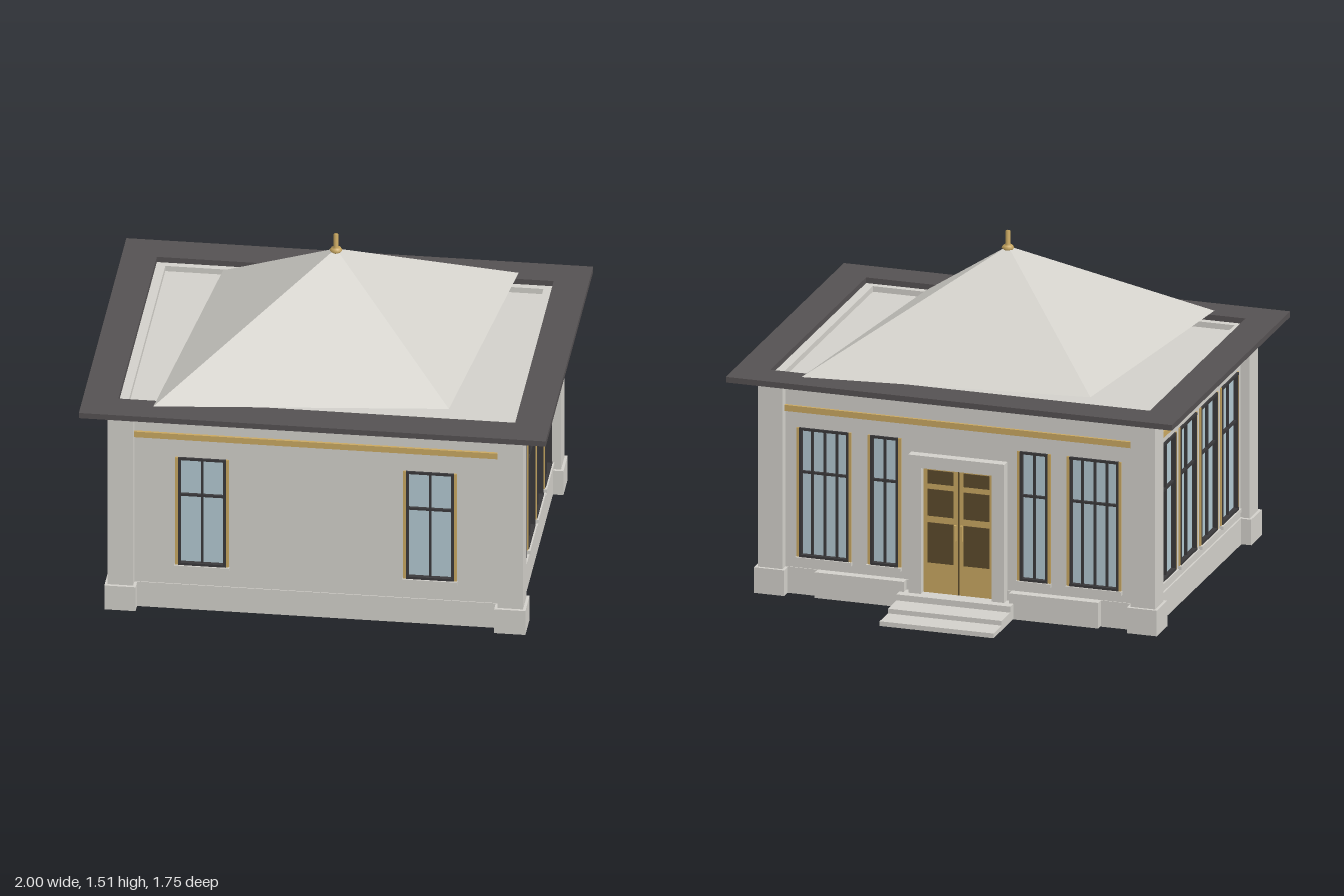
import * as THREE from 'three';

const mat = (name, color) => Object.assign(new THREE.MeshStandardMaterial({ color }), { name });

export function createModel() {
  const stone = mat('pale stone', 0xd2d0ca);
  const slate = mat('dark eaves', 0x555152);
  const gold = mat('gold trim', 0xc9a862);
  const frameDark = mat('dark window frame', 0x3a393b);
  const glass = mat('blue glass', 0xb2c8d1);
  const doorPanel = mat('brown door panel', 0x5c4a2c);
  const floorBrown = mat('dark brown floor', 0x43361f);

  const root = new THREE.Group();
  root.name = 'pavilion';
  const house = new THREE.Group();
  house.name = 'house';
  house.position.z = 0.08;
  root.add(house);

  const add = (parent, name, geometry, material) => {
    const mesh = new THREE.Mesh(geometry, material);
    mesh.name = name;
    parent.add(mesh);
    return mesh;
  };
  // Box given by its limits on each axis
  const box = (parent, name, material, x0, x1, y0, y1, z0, z1) => {
    const mesh = add(parent, name, new THREE.BoxGeometry(x1 - x0, y1 - y0, z1 - z0), material);
    mesh.position.set((x0 + x1) / 2, (y0 + y1) / 2, (z0 + z1) / 2);
    return mesh;
  };
  const rect = (C, x0, x1, y0, y1) =>
    new C([[x0, y0], [x1, y0], [x1, y1], [x0, y1]].map(([x, y]) => new THREE.Vector2(x, y)));
  const plate = (outer, holes, depth) => {
    const shape = rect(THREE.Shape, ...outer);
    holes.forEach((h) => shape.holes.push(rect(THREE.Path, ...h)));
    return new THREE.ExtrudeGeometry(shape, { depth, bevelEnabled: false });
  };
  // Horizontal rectangular ring from y0 to y1
  const ring = (name, material, ox, oz, ix, iz, y0, y1) => {
    const g = plate([-ox, ox, -oz, oz], [[-ix, ix, -iz, iz]], y1 - y0);
    g.rotateX(-Math.PI / 2);
    add(house, name, g, material).position.y = y0;
  };

  // Floor, ceiling, plinth, frieze and eaves
  box(house, 'floor', floorBrown, -0.8, 0.8, 0, 0.015, -0.59, 0.59);
  box(house, 'ceiling', stone, -0.815, 0.815, 0.93, 0.95, -0.615, 0.615);
  ring('plinth', stone, 0.857, 0.654, 0.79, 0.585, 0.012, 0.13);
  ring('frieze', stone, 0.89, 0.69, 0.81, 0.61, 0.94, 0.975);
  ring('eaves', slate, 1, 0.79, 0.85, 0.64, 0.975, 1);

  // Corner piers with wider feet
  for (const sx of [-1, 1]) for (const sz of [-1, 1]) {
    const pier = new THREE.Group();
    pier.name = 'cornerPier';
    pier.position.set(sx * 0.835, 0, sz * 0.632);
    box(pier, 'pierShaft', stone, -0.055, 0.055, 0.02, 0.94, -0.057, 0.057);
    box(pier, 'pierFoot', stone, -0.067, 0.067, 0.013, 0.128, -0.071, 0.071);
    house.add(pier);
  }

  // Window centred on x = c, standing in a wall whose face is z = 0
  const addWindow = (wall, { c, w, y0, y1, cols, transom }) => {
    const win = new THREE.Group();
    win.name = 'window';
    win.position.x = c;
    wall.add(win);
    const h = w / 2, t = 0.011;
    box(win, 'pane', glass, -h, h, y0, y1, -0.025, -0.012);
    for (const s of [-1, 1]) {
      const x = s * (h - t / 2), g = s * (h + 0.006);
      box(win, 'frameSide', frameDark, x - t / 2, x + t / 2, y0, y1, -0.025, 0.008);
      box(win, 'goldJamb', gold, g - 0.006, g + 0.006, y0, y1, -0.01, 0.006);
    }
    box(win, 'frameTop', frameDark, -h, h, y1 - t, y1, -0.025, 0.009);
    box(win, 'frameBottom', frameDark, -h, h, y0, y0 + t, -0.025, 0.009);
    for (let i = 1; i < cols; i++) {
      const x = -h + (w * i) / cols;
      box(win, 'mullion', frameDark, x - 0.005, x + 0.005, y0, y1, -0.02, 0);
    }
    box(win, 'transom', frameDark, -h, h, transom - 0.005, transom + 0.005, -0.02, 0.001);
    box(win, 'sill', stone, -h - 0.015, h + 0.015, y0 - 0.016, y0, -0.01, 0.016);
  };

  // Wall with openings, facing outward at the given turn
  const addWall = (name, half, distance, turn, windows) => {
    const wall = new THREE.Group();
    wall.name = name;
    wall.rotation.y = turn;
    wall.position.set(Math.sin(turn) * distance, 0, Math.cos(turn) * distance);
    house.add(wall);
    const holes = windows.map(({ c, w, y0, y1 }) => [c - w / 2, c + w / 2, y0, y1]);
    add(wall, 'wallPanel', plate([-half, half, 0.02, 0.94], holes, 0.04), stone).position.z = -0.04;
    box(wall, 'goldBand', gold, -half, half, 0.83, 0.857, -0.005, 0.012);
    windows.forEach((o) => addWindow(wall, o));
    return wall;
  };

  const frontWindow = { w: 0.205, y0: 0.225, y1: 0.742, cols: 2, transom: 0.56 };
  addWall('frontWall', 0.79, 0.65, 0, [-0.49, 0.487].map((c) => ({ ...frontWindow, c })));

  const sideWindow = { w: 0.215, y0: 0.18, y1: 0.797, cols: 2, transom: 0.58 };
  const sideWindows = [-1.5, -0.5, 0.5, 1.5].map((k) => ({ ...sideWindow, c: k * 0.278 }));
  addWall('leftWall', 0.585, 0.85, Math.PI / 2, sideWindows);
  addWall('rightWall', 0.585, 0.85, -Math.PI / 2, sideWindows);

  const backWindow = { y0: 0.18, y1: 0.76, transom: 0.56 };
  const back = addWall('backWall', 0.79, 0.65, Math.PI, [-1, 1].flatMap((s) => [
    { ...backWindow, c: s * 0.605, w: 0.22, cols: 4 },
    { ...backWindow, c: s * 0.335, w: 0.125, cols: 2 },
  ]));

  // Door surround and double door
  for (const s of [-1, 1]) {
    box(back, 'doorPost', stone, s * 0.187 - 0.028, s * 0.187 + 0.028, 0.02, 0.65, -0.01, 0.042);
    box(back, 'lowBlock', stone, s * 0.435 - 0.2, s * 0.435 + 0.2, 0.015, 0.13, -0.01, 0.04);
    const leaf = new THREE.Group();
    leaf.name = 'doorLeaf';
    leaf.position.x = s * 0.08;
    back.add(leaf);
    box(leaf, 'leafBoard', gold, -0.077, 0.077, 0.085, 0.65, -0.01, 0.01);
    for (const [y0, y1] of [[0.22, 0.4], [0.43, 0.55], [0.575, 0.635]]) {
      box(leaf, 'leafPanel', doorPanel, -0.058, 0.058, y0, y1, 0.008, 0.014);
    }
    box(leaf, 'doorHandle', gold, -s * 0.066 - 0.005, -s * 0.066 + 0.005, 0.33, 0.4, 0.01, 0.022);
  }
  box(back, 'doorGap', doorPanel, -0.004, 0.004, 0.085, 0.65, -0.01, 0.009);
  box(back, 'doorLintel', stone, -0.215, 0.215, 0.65, 0.705, -0.01, 0.042);

  // Entrance steps
  [[0.085, 0.08], [0.058, 0.195], [0.037, 0.305]].forEach(([top, reach]) =>
    box(back, 'step', stone, -0.255, 0.255, 0.016, top, 0, reach));

  // Four-sided roof with a long and a short diagonal
  const cone = new THREE.ConeGeometry(1, 0.44, 4, 1);
  cone.scale(0.98, 1, 0.785);
  cone.rotateY(Math.PI / 4);
  const roofShape = cone.toNonIndexed();
  roofShape.computeVertexNormals();
  add(house, 'roof', roofShape, stone).position.y = 1.221;

  // Finial
  const profile = [[0, 1.425], [0.02, 1.425], [0.027, 1.435], [0.02, 1.445], [0.01, 1.45], [0.01, 1.51], [0, 1.51]];
  add(house, 'finial', new THREE.LatheGeometry(profile.map(([x, y]) => new THREE.Vector2(x, y)), 16), gold);

  return root;
}
